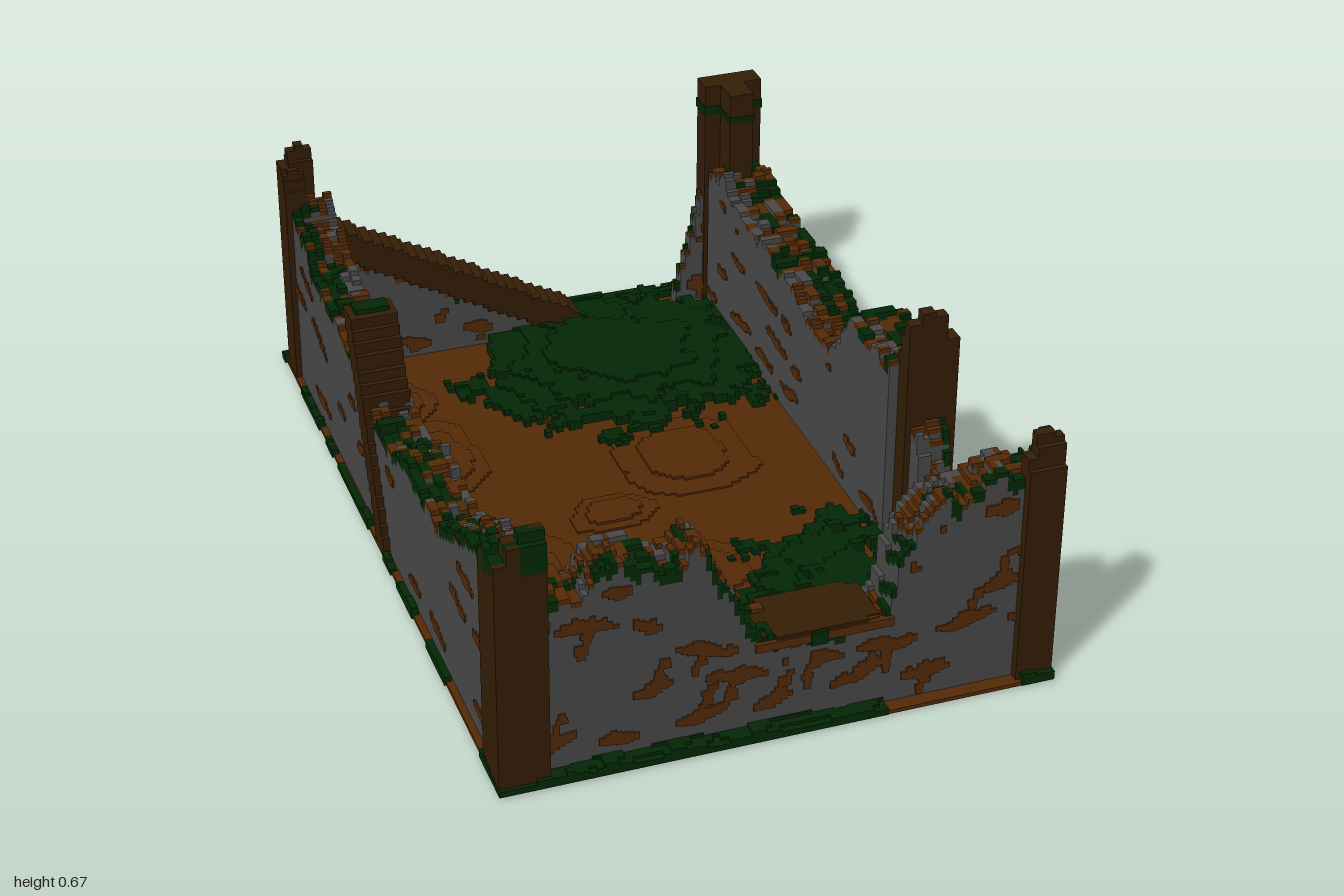
import * as THREE from 'three';
import { mergeGeometries } from 'three/addons/utils/BufferGeometryUtils.js';

const V = 0.0134; // block size
const material = (name, color) => Object.assign(new THREE.MeshStandardMaterial({ color }), { name });
const snap = (v) => Math.round(v / V) * V;
const clamp = THREE.MathUtils.clamp;

// Seeded lattice hash and smooth 2D noise, both 0..1
function hash(a, b) {
  const s = Math.sin(a * 127.1 + b * 311.7 + 4.3) * 43758.5453;
  return s - Math.floor(s);
}
function noise(x, y) {
  const i = Math.floor(x), j = Math.floor(y), f = x - i, g = y - j;
  const lerp = THREE.MathUtils.lerp;
  return lerp(lerp(hash(i, j), hash(i + 1, j), f), lerp(hash(i, j + 1), hash(i + 1, j + 1), f), g);
}

// Height on a profile of [position, height] points
function heightAt(profile, u) {
  for (let i = 1; i < profile.length; i++) {
    const [a, h] = profile[i - 1], [b, k] = profile[i];
    if (u <= b) return h + (k - h) * clamp((u - a) / (b - a), 0, 1);
  }
  return profile[profile.length - 1][1];
}

export function createModel() {
  const root = new THREE.Group();
  root.name = 'ruinedHouse';
  const mats = {
    stone: material('stone', 0x4a4a4a),
    dirt: material('dirt', 0x552a08),
    wood: material('darkWood', 0x351e06),
    moss: material('moss', 0x042805),
  };

  // A part collects boxes by colour, then becomes one mesh per colour
  function part(name, fill) {
    const lists = {};
    fill((color, x0, x1, y0, y1, z0, z1) => {
      if (x1 - x0 < 1e-4 || y1 - y0 < 1e-4 || z1 - z0 < 1e-4) return;
      const g = new THREE.BoxGeometry(x1 - x0, y1 - y0, z1 - z0);
      g.translate((x0 + x1) / 2, (y0 + y1) / 2, (z0 + z1) / 2);
      (lists[color] ||= []).push(g);
    });
    const group = new THREE.Group();
    group.name = name;
    for (const color in lists) {
      const mesh = new THREE.Mesh(mergeGeometries(lists[color]), mats[color]);
      mesh.name = `${name} ${color}`;
      group.add(mesh);
    }
    root.add(group);
  }

  // Broken wall along x or z: stepped columns, overgrown top, exposed mortar
  function wall(name, alongX, profile, w0, w1, seed, outer = 1) {
    part(name, (box) => {
      const put = (c, u0, u1, y0, y1, a, b) =>
        alongX ? box(c, u0, u1, y0, y1, a, b) : box(c, a, b, y0, y1, u0, u1);
      const start = profile[0][0], end = profile[profile.length - 1][0];
      const strips = 5, sw = (w1 - w0) / strips;
      for (let u = start, i = 0; u < end - 1e-4; u += V, i++) {
        const u1 = Math.min(u + V, end);
        for (let s = 0; s < strips; s++) {
          const a = w0 + s * sw, fromOuter = outer > 0 ? strips - 1 - s : s;
          const top = Math.max(V, snap(heightAt(profile, (u + u1) / 2) + (hash(i >> 1, s + seed) - 0.6) * 0.03));
          // moss towards the outside, bare stone along the inner edge
          const n = noise(i * 0.33 + seed * 9, s * 0.9) + [0.16, 0.04, 0.06, -0.08, -0.25][fromOuter];
          const color = n > 0.56 ? 'moss' : n > 0.28 ? 'dirt' : 'stone';
          const cap = Math.min(top - 0.006, color === 'moss' ? V * (1 + Math.floor(hash(i >> 1, seed) * 3)) : V);
          put('stone', u, u1, 0.005, top - cap, a, a + sw);
          put(color, u, u1, top - cap, top, a, a + sw);
        }
      }
      // Mortar on staggered courses: thick jagged joints on the front and
      // left-hand faces, thinner strokes on the others
      for (const side of [-1, 1]) {
        const a = side < 0 ? w0 - 0.004 : w1, heavy = side > 0;
        const daub = (u0, u1, y0, y1) => {
          const limit = Math.min(heightAt(profile, u0), heightAt(profile, u1)) - 0.05;
          if (u0 > start && u1 < end && y0 > 0.015 && y1 < limit) put('dirt', u0, u1, y0, y1, a, a + 0.004);
        };
        for (let row = 0; row < 5; row++) for (let k = 0; k * 0.18 < end - start; k++) {
          const r = hash(k + seed * 13, row * 7 + side), r2 = hash(k * 3 + seed, row + side * 5);
          if (r > (heavy ? 0.76 : 0.6)) continue;
          const cu = start + (k + 0.25 + (row % 2) * 0.4 + r2 * 0.3) * 0.18, cy = 0.06 + row * 0.1 + r2 * 0.03;
          const n = 2 + Math.floor(r2 * 4);
          let drift = 0;
          for (let q = -n; q <= n; q++) {
            const taper = 1 - Math.abs(q) / (n + 1), rough = hash(q + k * 5, row + seed);
            const t = (heavy ? 0.03 : 0.014) * taper + 0.018 * rough + 0.004;
            drift += (rough - 0.5 + (r - 0.35) * 0.6) * V;
            const y = cy + drift;
            daub(cu + (q - 0.5) * V, cu + (q + 0.5) * V, y - t / 2, y + t / 2);
          }
          if (heavy && r2 > 0.35) for (let q = 0; q < 6; q++) {
            const t = 0.014 + 0.022 * hash(q, k + row), u = cu + snap(q * (r - 0.35) * 0.02);
            const y = cy + (r > 0.35 ? 1 : -1) * (q + 1) * V;
            daub(u - t / 2, u + t / 2, y - V / 2, y + V / 2);
          }
        }
      }
    });
  }

  // Upright timber with a splintered top
  function post(name, x0, x1, z0, z1, low, high, peakX, peakZ, mossTop = false) {
    part(name, (box) => {
      box('wood', x0, x1, 0.004, low - 0.03, z0, z1);
      const n = 4, dx = (x1 - x0) / n, dz = (z1 - z0) / n;
      for (let i = 0; i < n; i++) for (let j = 0; j < n; j++) {
        const d = Math.max(Math.abs((i + 0.5) / n - peakX), Math.abs((j + 0.5) / n - peakZ));
        const top = Math.max(low, snap(high - Math.max(0, d - 0.2) * (high - low) * 1.9));
        const c = mossTop && hash(i + x0 * 9, j + z0 * 5) > 0.4 ? 'moss' : 'wood';
        box(c, x0 + i * dx, x0 + (i + 1) * dx, low - 0.03, top, z0 + j * dz, z0 + (j + 1) * dz);
      }
    });
  }

  // Ground slab with low, irregular stepped dirt mounds
  part('ground', (box) => {
    box('dirt', -0.662, 0.662, 0.002, 0.012, -0.997, 0.997);
    const mounds = [[-0.45, -0.65, 0.09, 0.13], [-0.4, -0.36, 0.1, 0.18], [-0.38, 0.2, 0.16, 0.21],
      [-0.36, 0.55, 0.14, 0.2], [0.18, -0.17, 0.2, 0.18], [-0.08, 0.02, 0.12, 0.08], [0.05, 0.35, 0.18, 0.14]];
    for (const [x, z, rx, rz] of mounds) for (let layer = 0; layer < 2; layer++) {
      const k = 1 - layer * 0.35;
      for (let d = -rz * k; d < rz * k; d += V) {
        const half = rx * k * Math.sqrt(Math.max(0, 1 - (d / (rz * k)) ** 2));
        const l = snap(half * (0.7 + 0.5 * noise(d * 14 + x * 9, z * 5)));
        const r = snap(half * (0.7 + 0.5 * noise(d * 14 + z * 9, x * 7)));
        box('dirt', x - l, x + r, 0.008, 0.017 + layer * 0.007, z + d, z + d + V);
      }
    }
  });

  // Moss: a rim outside the walls and two ragged patches indoors
  part('groundMoss', (box) => {
    const c = 0.0174, columns = Math.ceil(1.334 / c);
    const blob = (x, z, cx, cz, rx, rz) => 1 - Math.hypot((x - cx) / rx, (z - cz) / rz);
    for (let z = -1; z < 0.999; z += c) {
      let run = null;
      for (let i = 0; i <= columns; i++) {
        const x = -0.667 + i * c, xm = x + c / 2, zm = z + c / 2;
        const rim = Math.abs(xm) > 0.642 || Math.abs(zm) > 0.95;
        const bare = (zm > 0.9 && xm > 0.25 && xm < 0.58) || (xm > 0.6 && zm > -0.05 && zm < 0.5)
          || (xm < -0.64 && noise(zm * 16, 3) < 0.5);
        const back = blob(xm, zm, 0.18, -0.68, 0.5, 0.48), front = blob(xm, zm, 0.46, 0.66, 0.58, 0.56);
        const d = Math.max(back * 1.2, front * 0.9);
        const rough = 0.4 * noise(xm * 11, zm * 11 + 5) + 0.45 * noise(xm * 27, zm * 27) + 0.15 * hash(i, Math.round(z / c));
        let h = 0;
        if (i < columns) {
          if (rim && !bare) h = 0.018 + Math.floor(noise(xm * 20, zm * 20) * 3) * 0.008;
          else if (!rim && d > 0.02 && d > rough - 0.2) h = 0.022 + Math.floor(clamp(d + rough * 0.5, 0, 1) * 4) * 0.008;
        }
        const low = (zm < -0.88 && rough > 0.32) || (back > 0.1 && rough > 0.58) ? 0 : 0.003;
        if (run && (run.h !== h || run.low !== low)) {
          box('moss', run.x, Math.min(x, 0.667), run.low, run.h, z, Math.min(z + c, 1));
          run = null;
        }
        if (h && !run) run = { x, h, low };
      }
    }
  });

  wall('frontWall', true, [[-0.62, 0.47], [-0.5, 0.48], [-0.46, 0.47], [-0.42, 0.53], [-0.38, 0.54], [-0.3, 0.51],
    [-0.26, 0.48], [-0.2, 0.54], [-0.17, 0.51], [-0.13, 0.42], [-0.1, 0.36], [-0.05, 0.27], [0, 0.25], [0.25, 0.25],
    [0.27, 0.3], [0.29, 0.42], [0.33, 0.48], [0.39, 0.54], [0.43, 0.51], [0.47, 0.54], [0.52, 0.57], [0.62, 0.54]],
    0.84, 0.962, 1);
  wall('leftHandWall', false, [[-0.89, 0.55], [-0.8, 0.47], [-0.75, 0.5], [-0.68, 0.43], [-0.4, 0.41], [-0.25, 0.4],
    [-0.1, 0.34], [0.05, 0.33], [0.2, 0.4], [0.35, 0.38], [0.47, 0.38], [0.6, 0.45], [0.7, 0.5], [0.87, 0.57]],
    -0.645, -0.535, 2, -1);
  wall('rightHandWall', false, [[-0.88, 0.43], [-0.8, 0.43], [-0.76, 0.46], [-0.7, 0.41], [-0.3, 0.4], [-0.2, 0.38],
    [-0.1, 0.34], [-0.02, 0.36], [0.06, 0.43], [0.12, 0.52], [0.24, 0.5], [0.36, 0.52]], 0.505, 0.645, 3);
  wall('doorJamb', false, [[0.41, 0.38], [0.45, 0.34], [0.48, 0.16], [0.56, 0.03]], 0.545, 0.63, 4);
  wall('backWall', true, [[-0.58, 0.37], [0.08, 0.04]], -0.925, -0.87, 5, -1);
  wall('backWallStub', true, [[0.42, 0.05], [0.46, 0.2], [0.5, 0.36], [0.57, 0.45]], -0.935, -0.895, 6, -1);

  // Corner posts: two timbers meeting in an L
  post('frontLeftHandPost', -0.665, -0.545, 0.935, 0.99, 0.6, 0.665, 0.8, 0.5, true);
  post('frontLeftHandSidePost', -0.665, -0.605, 0.87, 0.935, 0.58, 0.63, 0.5, 0.8, true);
  post('frontRightHandPost', 0.575, 0.665, 0.935, 0.985, 0.54, 0.66, 0.6, 0.3);
  post('frontRightHandSidePost', 0.61, 0.665, 0.885, 0.935, 0.52, 0.64, 0.5, 0.8);
  post('backLeftHandPost', -0.66, -0.575, -0.948, -0.895, 0.56, 0.668, 0.6, 0.5);
  post('backLeftHandSidePost', -0.66, -0.605, -0.895, -0.862, 0.55, 0.62, 0.5, 0.2);
  post('doorPost', 0.53, 0.66, 0.35, 0.412, 0.53, 0.665, 0.4, 0.8);
  part('backRightHandPost', (box) => {
    box('wood', 0.497, 0.655, 0.004, 0.668, -0.95, -0.888);
    box('wood', 0.54, 0.605, 0.3, 0.668, -0.888, -0.813);
    box('moss', 0.494, 0.658, 0.585, 0.61, -0.953, -0.885);
    box('moss', 0.537, 0.608, 0.59, 0.605, -0.885, -0.81);
  });

  // Window ledge in the low part of the front wall
  part('windowLedge', (box) => {
    box('wood', -0.04, 0.24, 0.225, 0.258, 0.825, 0.955);
    box('wood', -0.01, 0.21, 0.225, 0.258, 0.81, 0.968);
    box('dirt', -0.06, 0.27, 0.228, 0.25, 0.955, 0.972);
    box('moss', 0.07, 0.11, 0.22, 0.255, 0.965, 0.975);
  });

  // Fallen roof beam sloping down along the back
  part('fallenBeam', (box) => {
    for (let x = -0.57; x < 0.12; x += V) {
      const top = snap(0.455 - (x + 0.57) * 0.56);
      box('wood', x, x + V, Math.max(0.004, top - 0.085), top, -0.94, -0.855);
    }
  });

  // Leaning brace through the left-hand wall
  part('leaningBrace', (box) => {
    for (let y = 0.004; y < 0.55; y += V) {
      const z = snap(0.0 - y * 0.42);
      box('wood', -0.662, -0.545, y, y + V, z - 0.042, z + 0.033);
    }
    box('moss', -0.645, -0.56, 0.545, 0.565, -0.26, -0.215);
  });

  return root;
}
